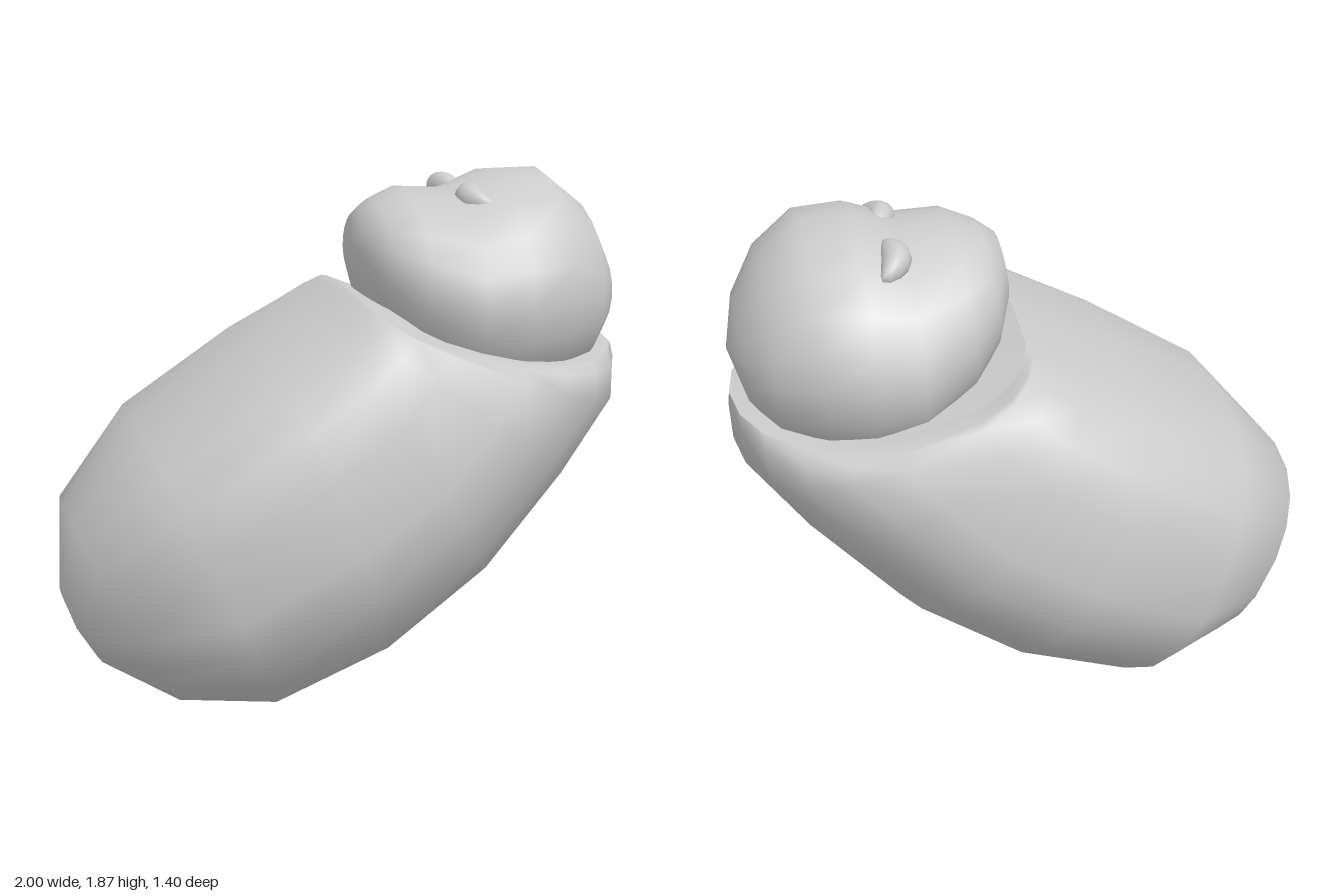
import * as THREE from 'three';
import { mergeVertices } from 'three/addons/utils/BufferGeometryUtils.js';

const material = new THREE.MeshStandardMaterial({ color: 0xcccccc });
const SIDES = 20;

// Skins rings given as [upperX, upperY, lowerX, lowerY, halfWidth, sag].
// The exponents [first ring, last ring] square off the upper and lower
// halves of the section (1 = ellipse, less = boxier, more = pointed).
function loft(rings, upperPow, lowerPow) {
  const pos = [], index = [];
  rings.forEach(([ux, uy, lx, ly, w, sag = 0], r) => {
    const k = (r / (rings.length - 1)) ** 0.7;
    for (let i = 0; i < SIDES; i++) {
      const a = (i / SIDES) * Math.PI * 2, c = Math.cos(a), s = Math.sin(a);
      const pow = THREE.MathUtils.lerp(...(c > 0 ? upperPow : lowerPow), k);
      const t = Math.sign(c) * Math.abs(c) ** pow;
      const z = Math.sign(s) * Math.abs(s) ** pow * w;
      pos.push((ux + lx) / 2 + (ux - lx) / 2 * t, (uy + ly) / 2 + (uy - ly) / 2 * t - sag * s * s, z);
      if (r < rings.length - 1) {
        const p = r * SIDES + i, q = r * SIDES + (i + 1) % SIDES;
        index.push(p, q, p + SIDES, q, q + SIDES, p + SIDES);
      }
    }
  });
  let g = new THREE.BufferGeometry();
  g.setAttribute('position', new THREE.Float32BufferAttribute(pos, 3));
  g.setIndex(index);
  g = mergeVertices(g, 1e-4);
  g.computeVertexNormals();
  return g;
}

function addMesh(group, name, geometry) {
  const mesh = new THREE.Mesh(geometry, material);
  mesh.name = name;
  group.add(mesh);
  return mesh;
}

// Crescent eye: an ellipsoid bent along its length
function eyeGeometry() {
  const g = new THREE.SphereGeometry(1, 14, 10);
  g.scale(0.05, 0.05, 0.095);
  const p = g.attributes.position;
  for (let i = 0; i < p.count; i++) {
    const z = p.getZ(i);
    p.setX(i, p.getX(i) + 4 * z * z + 0.15 * z);
  }
  g.computeVertexNormals();
  return g;
}

export function createModel() {
  const model = new THREE.Group();
  model.name = 'swaddledBaby';

  // Wrapped body, from the rounded foot end over the shoulders to the collar
  const rim = [0.02, 1.48, 0.99, 1.26, 0.45, 0.09];
  addMesh(model, 'swaddledBody', loft([
    [-0.95, 0.31, -0.95, 0.31, 0],
    [-1.0, 0.45, -0.86, 0.18, 0.17],
    [-0.98, 0.77, -0.6, 0.02, 0.41],
    [-0.73, 1.06, -0.27, 0, 0.67],
    [-0.33, 1.31, 0.12, 0.16, 0.7],
    [-0.14, 1.4, 0.49, 0.44, 0.68],
    [-0.05, 1.445, 0.79, 0.79, 0.63],
    [0.0, 1.47, 0.99, 1.08, 0.57, 0.04],
    [0.01, 1.475, 0.995, 1.21, 0.53, 0.07],
    rim,
  ], [1.05, 0.45], [1.3, 0.95]));

  // Inside of the collar, under the head
  addMesh(model, 'collarInside', loft([rim, [0.5, 1.3, 0.5, 1.3, 0]], [0.45, 0.45], [0.95, 0.95]));

  // Head, from the chin to the crown
  addMesh(model, 'head', loft([
    [0.05, 1.63, 0.05, 1.63, 0],
    [0.07, 1.74, 0.05, 1.52, 0.14],
    [0.13, 1.78, 0.1, 1.38, 0.27],
    [0.23, 1.82, 0.2, 1.24, 0.38],
    [0.4, 1.81, 0.38, 1.1, 0.46],
    [0.55, 1.87, 0.55, 1.06, 0.48],
    [0.72, 1.87, 0.7, 1.08, 0.44],
    [0.86, 1.76, 0.84, 1.15, 0.35],
    [0.95, 1.6, 0.93, 1.26, 0.21],
    [0.985, 1.43, 0.985, 1.43, 0],
  ], [1.05, 1.05], [1, 1]));

  // Eyes, mirrored across the face
  const eye = eyeGeometry();
  for (const side of [1, -1]) {
    const mesh = addMesh(model, side > 0 ? 'eyeNear' : 'eyeFar', eye);
    mesh.position.set(0.435, 1.785, -0.03 + side * 0.165);
    mesh.rotation.x = side * 0.25;
    mesh.scale.z = side;
  }
  return model;
}
